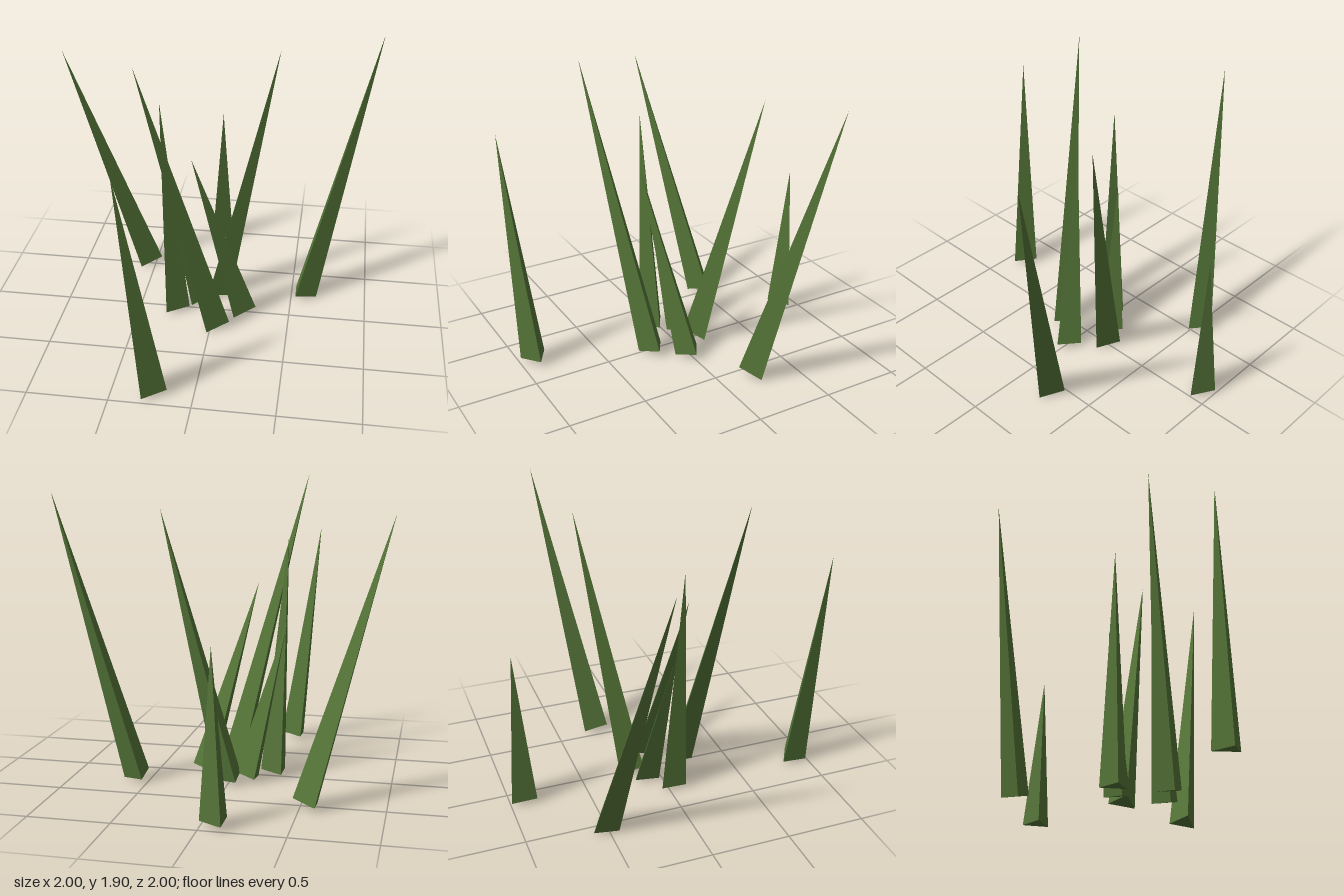
import * as THREE from 'three';

const UP = new THREE.Vector3(0, 1, 0);

// [root x, root z, tip x, tip y, tip z] for each blade
const BLADES = [
  [-0.547, -0.52, -1.0, 1.7, -0.245],
  [-0.085, -0.915, -0.065, 1.02, -0.925],
  [0.577, -0.235, 1.0, 1.82, -0.495],
  [-0.008, -0.172, 0.365, 1.72, -0.395],
  [0.03, 0.19, -0.395, 1.9, 0.45],
  [0.185, 0.003, -0.115, 1.22, 0.19],
  [-0.112, -0.1, -0.325, 1.0, 0.035],
  [-0.26, 0.03, -0.325, 1.53, 0.078],
  [-0.255, 0.9, -0.41, 1.515, 1.0],
];

export function createModel() {
  const group = new THREE.Group();
  group.name = 'grassTuft';

  const green = new THREE.MeshStandardMaterial({ color: 0x557538, flatShading: true });
  green.name = 'grassGreen';

  // Three-sided spike of unit height, standing on its root with one corner towards +x
  const spike = new THREE.ConeGeometry(0.095, 1, 3);
  spike.rotateY(Math.PI / 2);
  spike.translate(0, 0.5, 0);

  // Each blade leans from its root to its tip
  BLADES.forEach(([x, z, tx, ty, tz], i) => {
    const root = new THREE.Vector3(x, 0.027, z);
    const axis = new THREE.Vector3(tx, ty, tz).sub(root);
    const blade = new THREE.Mesh(spike, green);
    blade.name = `blade${i + 1}`;
    blade.position.copy(root);
    blade.scale.y = axis.length();
    blade.quaternion.setFromUnitVectors(UP, axis.normalize());
    group.add(blade);
  });

  return group;
}
